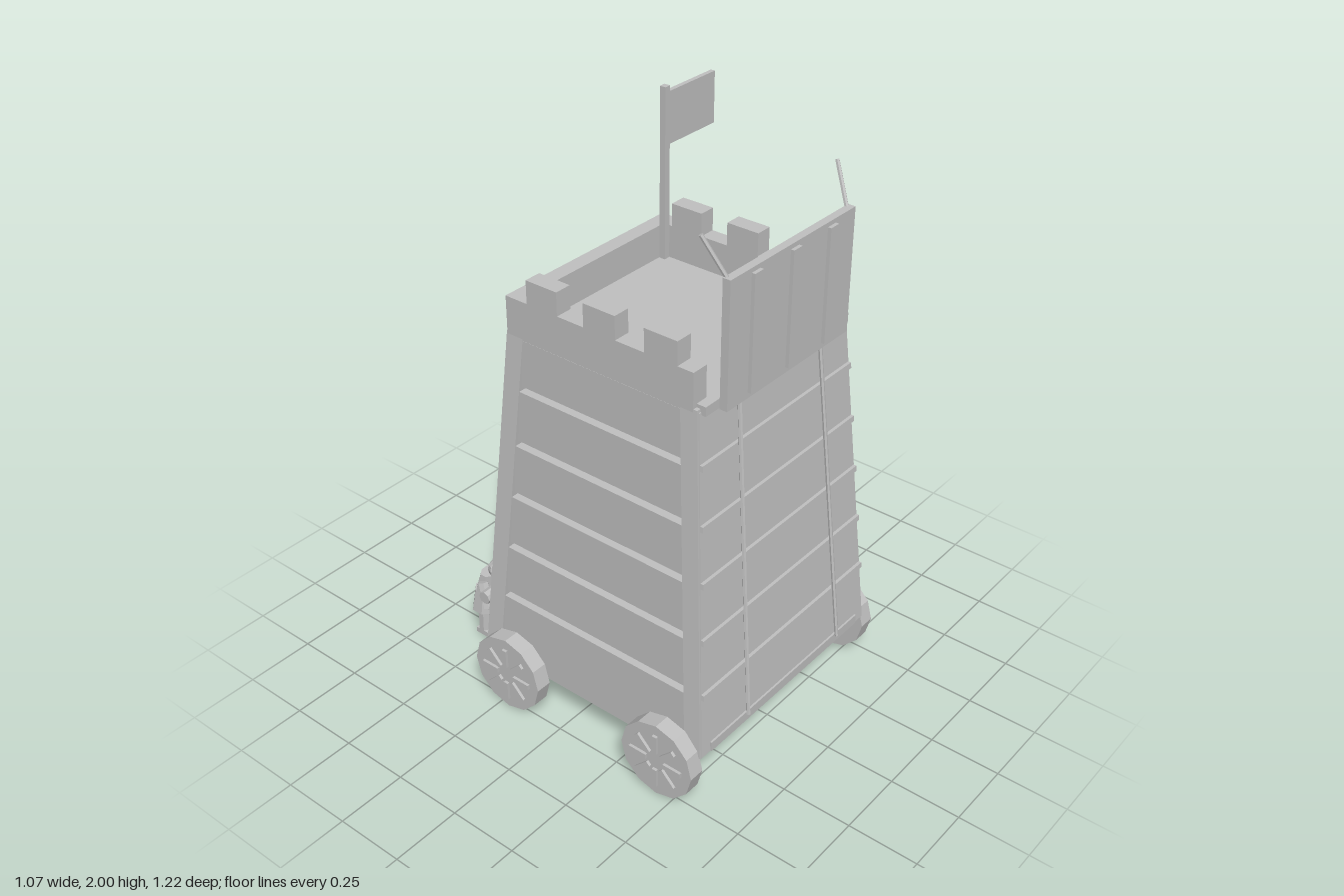
import * as THREE from 'three';

const stone = new THREE.MeshStandardMaterial({ color: 0xc0c0c0, flatShading: true });
stone.name = 'plain grey';

// outer faces of the tapering tower at height y
const k = (y) => (y - 0.19) / 1.2;
const lerp = THREE.MathUtils.lerp;
const sideX = (y) => lerp(0.462, 0.376, k(y));
const frontZ = (y) => lerp(0.573, 0.475, k(y));
const backZ = (y) => lerp(-0.353, -0.265, k(y));

function add(parent, name, geo, x = 0, y = 0, z = 0) {
  const m = new THREE.Mesh(geo, stone);
  m.name = name;
  m.position.set(x, y, z);
  parent.add(m);
  return m;
}

// box given by its limits
function box(parent, name, x0, x1, y0, y1, z0, z1) {
  return add(parent, name, new THREE.BoxGeometry(x1 - x0, y1 - y0, z1 - z0),
    (x0 + x1) / 2, (y0 + y1) / 2, (z0 + z1) / 2);
}

// tapered box: rect(y) returns [x0, x1, z0, z1]
function taper(parent, name, y0, y1, rect) {
  const g = new THREE.BoxGeometry(1, 1, 1);
  const p = g.attributes.position;
  for (let i = 0; i < p.count; i++) {
    const y = p.getY(i) > 0 ? y1 : y0;
    const r = rect(y);
    p.setXYZ(i, p.getX(i) > 0 ? r[1] : r[0], y, p.getZ(i) > 0 ? r[3] : r[2]);
  }
  g.computeVertexNormals();
  return add(parent, name, g);
}

// bar between two points
function bar(parent, name, a, b, r, sides = 6) {
  const A = new THREE.Vector3(...a), B = new THREE.Vector3(...b);
  const d = B.clone().sub(A);
  const m = add(parent, name, new THREE.CylinderGeometry(r, r, d.length(), sides));
  m.position.copy(A).add(B).multiplyScalar(0.5);
  m.quaternion.setFromUnitVectors(new THREE.Vector3(0, 1, 0), d.normalize());
  return m;
}

function group(parent, name) {
  const g = new THREE.Group();
  g.name = name;
  parent.add(g);
  return g;
}

function ladder(parent, name, x0, x1, y0, y1, z0, z1) {
  const g = group(parent, name);
  for (const x of [x0, x1]) bar(g, 'ladderRail', [x, y0, z0], [x, y1, z1], 0.013, 4);
  for (let i = 1; i < 7; i++) {
    const y = lerp(y0, y1, i / 7), z = lerp(z0, z1, i / 7);
    bar(g, 'ladderRung', [x0, y, z], [x1, y, z], 0.008, 4);
  }
}

function wheel(parent, s, z) {
  const g = group(parent, 'wheel');
  g.position.set(s * 0.486, 0.143, z);
  add(g, 'wheelDisc', new THREE.CylinderGeometry(0.143, 0.143, 0.058, 12)).rotation.z = Math.PI / 2;
  add(g, 'wheelHub', new THREE.CylinderGeometry(0.022, 0.022, 0.02, 8), -s * 0.028).rotation.z = Math.PI / 2;
  for (let i = 0; i < 8; i++) {
    const a = i * Math.PI / 4;
    const spoke = add(g, 'spoke', new THREE.BoxGeometry(0.02, 0.07, 0.018),
      s * 0.029, Math.cos(a) * 0.07, Math.sin(a) * 0.07);
    spoke.rotation.x = a;
  }
}

// eight-sided garment section leaning from (y0, z0) to (y1, z1)
function garment(parent, name, y0, z0, y1, z1, r0, r1, depth) {
  const g = new THREE.CylinderGeometry(r1, r0, 1, 8);
  g.rotateY(Math.PI / 8);
  const p = g.attributes.position;
  for (let i = 0; i < p.count; i++) {
    const t = p.getY(i) + 0.5;
    p.setXYZ(i, p.getX(i), lerp(y0, y1, t), p.getZ(i) * depth + lerp(z0, z1, t));
  }
  g.computeVertexNormals();
  add(parent, name, g);
}

// worker leaning into the push bar
function worker(parent, x) {
  const g = group(parent, 'worker');
  g.position.x = x;
  for (const s of [-1, 1]) {
    box(g, 'foot', s * 0.028 - 0.018, s * 0.028 + 0.018, 0, 0.02, -0.578, -0.522);
    bar(g, 'leg', [s * 0.028, 0.015, -0.553], [s * 0.028, 0.13, -0.55], 0.021, 6);
    bar(g, 'upperArm', [s * 0.05, 0.255, -0.525], [s * 0.062, 0.165, -0.492], 0.019, 6);
    bar(g, 'forearm', [s * 0.062, 0.165, -0.492], [s * 0.046, 0.212, -0.47], 0.015, 6);
  }
  garment(g, 'tunic', 0.107, -0.556, 0.195, -0.549, 0.064, 0.054, 0.88);
  garment(g, 'chest', 0.195, -0.549, 0.275, -0.53, 0.054, 0.046, 0.72);
  add(g, 'head', new THREE.SphereGeometry(0.029, 8, 6), 0, 0.294, -0.506).scale.y = 1.25;
}

export function createModel() {
  const model = new THREE.Group();
  model.name = 'siegeTower';
  const tower = group(model, 'tower');
  tower.position.x = -0.0105;

  // corner posts
  for (const s of [-1, 1]) for (const f of [true, false])
    taper(tower, 'cornerPost', 0.19, 1.4, (y) => {
      const x = sideX(y), z = f ? frontZ(y) : backZ(y);
      return [s > 0 ? x - 0.05 : -x, s > 0 ? x : -x + 0.05, f ? z - 0.062 : z, f ? z : z + 0.066];
    });

  // upright side planks stepping inwards, front planks with cover battens
  const rows = [0.145, 0.415, 0.615, 0.815, 1.01, 1.21, 1.39];
  for (let i = 0; i < 6; i++) {
    const y0 = rows[i] + (i ? 0.007 : 0), y1 = rows[i + 1] - 0.006;
    const x = sideX(y1) - 0.001;
    for (const s of [-1, 1])
      taper(tower, 'sidePlank', y0, y1, (y) =>
        [s > 0 ? x - 0.04 : -x, s > 0 ? x : -x + 0.04, backZ(y) + 0.03, frontZ(y) - 0.03]);
    taper(tower, 'frontPlank', Math.max(0.19, rows[i]), rows[i + 1], (y) =>
      [-sideX(y) + 0.006, sideX(y) - 0.006, frontZ(y) - 0.035, frontZ(y) + 0.003]);
    if (i) taper(tower, 'frontBatten', rows[i] - 0.004, rows[i] + 0.016, (y) =>
      [-sideX(y) + 0.006, sideX(y) - 0.006, frontZ(y), frontZ(y) + 0.014]);
  }
  box(tower, 'frontSill', -0.41, 0.41, 0.19, 0.225, 0.55, 0.58);
  box(tower, 'backSill', -0.42, 0.42, 0.19, 0.225, -0.345, -0.31);

  // floors
  box(tower, 'lowerFloor', -0.43, 0.43, 0.18, 0.215, -0.335, 0.55);
  box(tower, 'middleFloor', -0.4, 0.4, 0.745, 0.772, -0.295, 0.5);
  box(tower, 'upperFloor', -0.355, 0.355, 1.375, 1.405, -0.25, 0.46);
  box(tower, 'bridgeSill', -0.36, 0.36, 1.38, 1.412, 0.44, 0.493);

  // parapet with merlons
  const parapet = group(tower, 'parapet');
  for (const s of [-1, 1]) {
    const a = s > 0 ? 0.316 : -0.376, b = a + 0.06;
    box(parapet, 'sideParapet', a, b, 1.385, 1.52, -0.262, 0.46);
    for (const z of [-0.175, 0.05, 0.28])
      box(parapet, 'merlon', a, b, 1.52, 1.6, z, z + 0.122);
  }
  box(parapet, 'backParapet', -0.316, 0.316, 1.385, 1.52, -0.262, -0.208);

  // raised bridge with battens and ropes
  const bridge = group(model, 'drawbridge');
  box(bridge, 'bridgeDeck', -0.312, 0.297, 1.38, 1.8, 0.497, 0.524);
  for (const x of [-0.195, -0.01, 0.175])
    box(bridge, 'bridgeBatten', x - 0.02, x + 0.02, 1.4, 1.785, 0.52, 0.536);
  bar(bridge, 'bridgeRope', [-0.297, 1.79, 0.505], [-0.336, 1.92, 0.438], 0.007);
  bar(bridge, 'bridgeRope', [0.282, 1.79, 0.505], [0.316, 1.92, 0.438], 0.007);
  bar(model, 'hangingRope', [-0.215, 1.36, 0.497], [-0.262, 0.25, 0.605], 0.007);
  bar(model, 'hangingRope', [0.195, 1.36, 0.497], [0.24, 0.25, 0.605], 0.007);

  // ladders
  ladder(model, 'lowerLadder', -0.205, -0.085, 0.215, 0.76, 0.0, -0.205);
  ladder(model, 'upperLadder', 0.065, 0.2, 0.772, 1.385, -0.005, -0.195);

  // flag
  box(model, 'flagPole', 0.281, 0.304, 1.4, 2, -0.206, -0.184);
  box(model, 'flag', 0.3, 0.537, 1.803, 1.98, -0.203, -0.187);

  // wheels
  for (const s of [-1, 1]) for (const z of [0.438, -0.214]) wheel(tower, s, z);

  // push bar and workers
  bar(model, 'pushBar', [-0.396, 0.275, -0.438], [0.373, 0.275, -0.438], 0.024, 8);
  for (const x of [-0.265, 0.242]) {
    bar(model, 'pushArm', [x, 0.258, -0.33], [x, 0.272, -0.438], 0.016, 8);
    worker(model, x);
  }
  return model;
}
